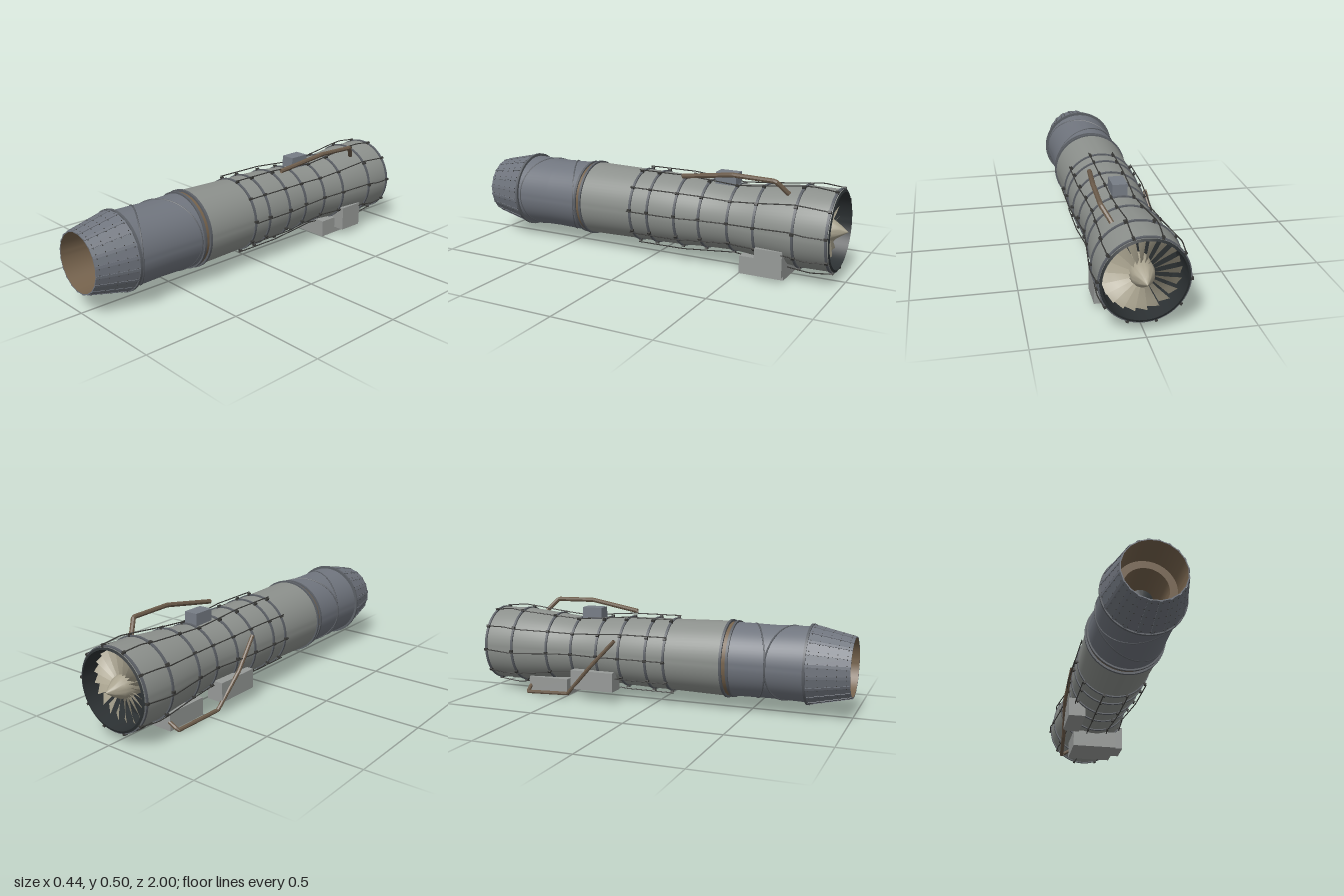
import * as THREE from 'three';
import { toCreasedNormals } from 'three/addons/utils/BufferGeometryUtils.js';

const AXIS = 0.25; // height of the engine axis
const mat = (color, flatShading = false) =>
  new THREE.MeshStandardMaterial({ color, flatShading, side: THREE.DoubleSide });
const M = {
  casing: mat(0x8c908c), nozzle: mat(0x70757e), petal: mat(0x70757e, true),
  ring: mat(0x5c6066), dark: mat(0x3a3a38), brown: mat(0x75624c), pipe: mat(0x6b5b4a, true),
  box: mat(0x979a98), blueBox: mat(0x777d86), blade: mat(0xa8a28e), core: mat(0x2c3133),
};

export function createModel() {
  const model = new THREE.Group();
  const engine = new THREE.Group();
  engine.name = 'engine';
  engine.position.y = AXIS;
  model.add(engine);

  const add = (parent, name, geometry, material) => {
    const mesh = new THREE.Mesh(geometry, material);
    mesh.name = name;
    parent.add(mesh);
    return mesh;
  };
  // Surface of revolution about z from [radius, z] pairs
  const turned = (name, profile, material, sides = 64) => {
    const g = new THREE.LatheGeometry(profile.map(([r, z]) => new THREE.Vector2(r, z)), sides);
    g.rotateX(Math.PI / 2);
    g.rotateZ(Math.PI / sides);
    return add(engine, name, toCreasedNormals(g, 0.5), material);
  };
  const flange = (name, z, r, w, material) => turned(name,
    [[r - 0.015, z - w / 2], [r, z - w / 2], [r, z + w / 2], [r - 0.015, z + w / 2]], material);
  const polar = (r, a, z) => new THREE.Vector3(r * Math.cos(a), r * Math.sin(a), z);
  const tube = (parent, name, points, r, sides, material, segments = 48) => {
    const c = new THREE.CatmullRomCurve3(points, false, 'catmullrom', 0);
    return add(parent, name, new THREE.TubeGeometry(c, segments, r, sides), material);
  };

  // Casing with a narrow waist, open at the intake
  const hull = [[0.197, -0.96], [0.199, -0.79], [0.18, -0.59], [0.167, -0.45],
    [0.171, -0.3], [0.18, -0.17], [0.184, -0.02], [0.185, 0.09]];
  const hullRadius = (z) => {
    const i = Math.max(1, hull.findIndex((p) => p[1] >= z));
    const [r0, z0] = hull[i - 1], [r1, z1] = hull[i];
    return THREE.MathUtils.lerp(r0, r1, (z - z0) / (z1 - z0));
  };
  turned('casing', hull, M.casing);
  turned('rearCasing', [[0.185, 0.09], [0.191, 0.38]], M.casing);
  turned('intakeDuct', [[0.197, -0.96], [0.186, -0.965], [0.182, -0.86], [0.178, -0.8], [0, -0.8]], M.core);
  const ringZ = [0.08, -0.02, -0.17, -0.3, -0.45, -0.59, -0.79, -0.95];
  ringZ.forEach((z) => flange('casingRing', z, hullRadius(z) + 0.006, 0.012, M.ring));

  // Coupling band between casing and swivel duct
  flange('couplingRing', 0.38, 0.199, 0.012, M.ring);
  turned('couplingBand', [[0.188, 0.38], [0.188, 0.41]], M.brown);
  flange('couplingRing', 0.412, 0.195, 0.012, M.ring);

  // Swivel duct with two slanted joints
  turned('swivelDuct', [[0.187, 0.41], [0.183, 0.6], [0.187, 0.79]], M.nozzle);
  for (const [z0, slope] of [[0.515, -0.47], [0.685, 0.47]]) {
    const pts = Array.from({ length: 48 }, (_, i) => {
      const p = polar(0.185, (i / 48) * Math.PI * 2, z0);
      p.z += slope * p.x;
      return p;
    });
    add(engine, 'swivelJoint',
      new THREE.TubeGeometry(new THREE.CatmullRomCurve3(pts, true), 96, 0.004, 6, true), M.ring);
  }

  // Nozzle petals with seals and rivets
  const petals = 20, z0 = 0.79, z1 = 1, r0 = 0.197, r1 = 0.15;
  flange('nozzleRing', z0, 0.2, 0.012, M.ring);
  turned('nozzlePetals', [[r0, z0], [r1, z1], [r1 - 0.005, z1]], M.petal, petals);
  const slant = Math.atan2(r0 - r1, z1 - z0), slantLength = Math.hypot(r0 - r1, z1 - z0);
  const rivet = new THREE.SphereGeometry(0.0028, 6, 4);
  for (let i = 0; i < petals; i++) {
    const petal = new THREE.Group();
    petal.name = 'petalSeal';
    petal.rotation.z = ((i + 0.5) / petals) * Math.PI * 2;
    engine.add(petal);
    const seal = add(petal, 'sealStrip', new THREE.BoxGeometry(0.003, 0.013, slantLength), M.nozzle);
    seal.position.set((r0 + r1) / 2, 0, (z0 + z1) / 2);
    seal.rotation.y = -slant;
    for (let k = 0; k < 5; k++) {
      const t = 0.08 + k * 0.21;
      for (const s of [-1, 1]) {
        const m = add(petal, 'rivet', rivet, M.dark);
        m.position.set(THREE.MathUtils.lerp(r0, r1, t) - 0.001, s * 0.01, THREE.MathUtils.lerp(z0, z1, t));
      }
    }
  }

  // Exhaust liner and tail cone
  turned('exhaustLiner', [[0.146, 1], [0.141, 0.84], [0.105, 0.84], [0.103, 0.6]], M.brown);
  turned('tailCone', [[0.103, 0.6], [0.053, 0.74], [0.006, 0.752], [0, 0.755]], M.core);

  // Fan: spinner and twisted blades
  turned('spinner', [[0, -1], [0.025, -0.965], [0.05, -0.925], [0.058, -0.89], [0.058, -0.8]], M.blade, 24);
  const blade = new THREE.PlaneGeometry(1, 1, 1, 4);
  const bp = blade.attributes.position;
  for (let i = 0; i < bp.count; i++) {
    const t = bp.getY(i) + 0.5, chord = 0.035 + 0.025 * t, twist = 0.5 + 0.5 * t;
    const c = bp.getX(i) * chord;
    bp.setXYZ(i, 0.05 + t * 0.125, c * Math.sin(twist), -0.89 + c * Math.cos(twist));
  }
  blade.computeVertexNormals();
  for (let i = 0; i < 20; i++) {
    add(engine, 'fanBlade', blade, M.blade).rotation.z = (i / 20) * Math.PI * 2;
  }

  // Thin lines running along the casing, with clamps at the rings
  const run = [[0.203, 0.09, 0], [0.202, -0.17, 0], [0.191, -0.3, 1], [0.178, -0.45, 1],
    [0.19, -0.59, 2], [0.212, -0.78, 4], [0.218, -0.85, 2], [0.207, -0.95, 1]];
  const clamp = new THREE.BoxGeometry(0.016, 0.012, 0.016);
  for (let i = 0; i < 10; i++) {
    const a = THREE.MathUtils.degToRad(2 + i * 36);
    tube(engine, 'casingLine', run.map(([r, z, d]) => polar(r, a + THREE.MathUtils.degToRad(d), z)),
      0.003, 5, M.dark);
    for (const z of ringZ) {
      const m = add(engine, 'lineClamp', clamp, M.dark);
      m.position.copy(polar(hullRadius(z) + 0.006, a + 0.02, z));
      m.rotation.z = a;
    }
  }

  // Accessory boxes: [name, x range, y range, z range]
  const boxes = [
    ['gearbox', -0.12, 0.12, 0, 0.09, -0.73, -0.5, M.box],
    ['leftAccessory', 0.1, 0.18, 0.032, 0.16, -0.74, -0.6, M.box],
    ['rightAccessory', -0.19, -0.1, 0.06, 0.16, -0.44, -0.2, M.box],
    ['topAccessory', -0.036, 0.036, 0.4, 0.475, -0.44, -0.33, M.blueBox],
  ];
  for (const [name, xa, xb, ya, yb, za, zb, m] of boxes) {
    add(model, name, new THREE.BoxGeometry(xb - xa, yb - ya, zb - za), m)
      .position.set((xa + xb) / 2, (ya + yb) / 2, (za + zb) / 2);
  }

  // Bleed pipes
  const V = (x, y, z) => new THREE.Vector3(x, y, z);
  tube(model, 'upperPipe', [V(0.1, 0.45, -0.18), V(0.132, 0.493, -0.46), V(0.138, 0.488, -0.68),
    V(0.1, 0.425, -0.735)], 0.012, 8, M.pipe);
  tube(model, 'lowerPipe', [V(-0.18, 0.33, -0.19), V(-0.198, 0.19, -0.32), V(-0.183, 0.03, -0.465),
    V(-0.16, 0.014, -0.72), V(-0.11, 0.045, -0.725)], 0.01, 8, M.pipe);

  return model;
}
